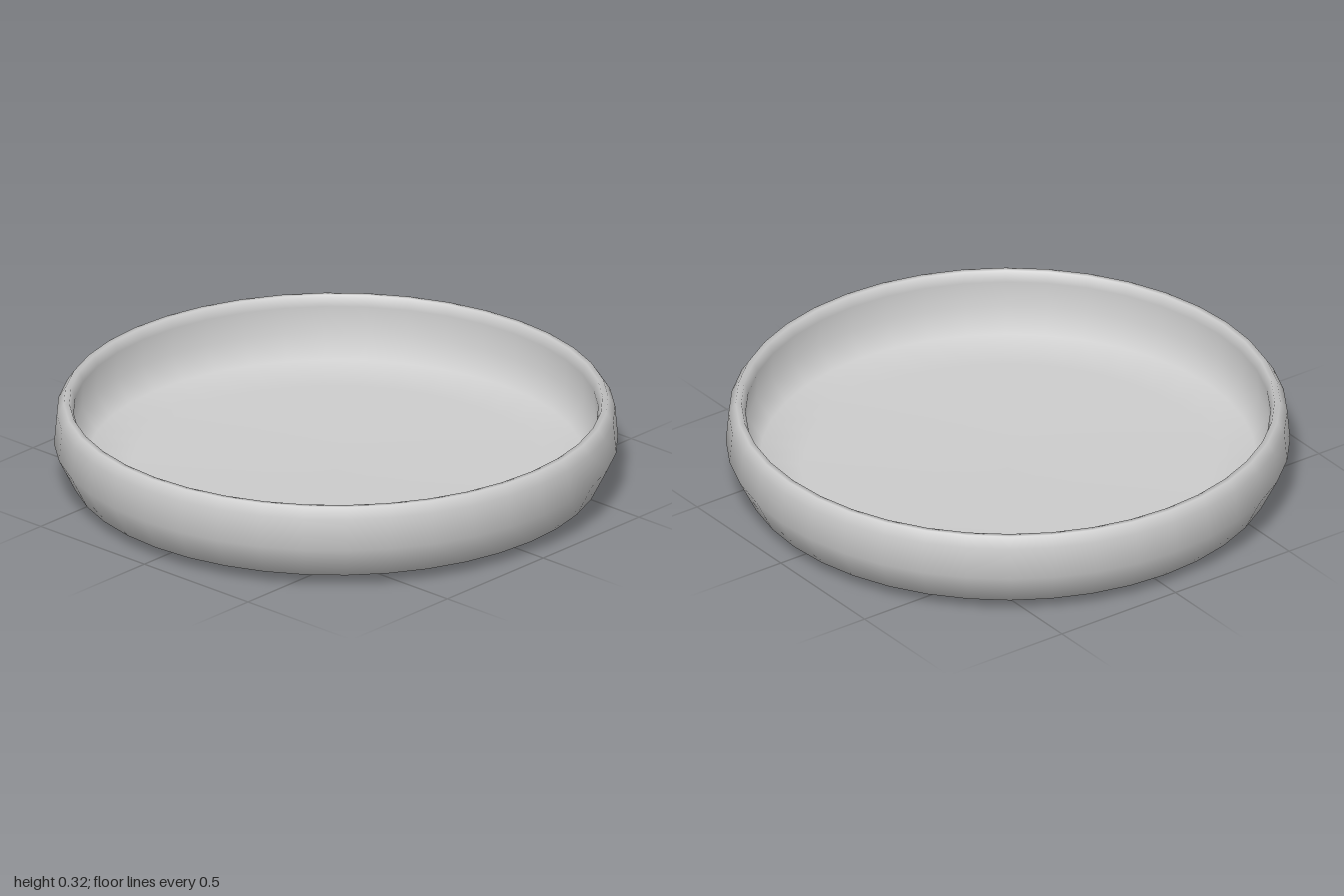
import * as THREE from 'three';

export function createModel() {
  const group = new THREE.Group();
  group.name = 'shallowDish';

  // Half section: underside, outer wall, rounded lip, inner wall, floor
  const profile = [
    [0, 0], [0.75, 0.005], [0.94, 0.045], [1, 0.165], [0.99, 0.28],
    [0.965, 0.318], [0.945, 0.318], [0.93, 0.28],
    [0.935, 0.18], [0.88, 0.095], [0.73, 0.062], [0, 0.055],
  ].map(([r, y]) => new THREE.Vector2(r, y));

  const dish = new THREE.Mesh(
    new THREE.LatheGeometry(profile, 40),
    new THREE.MeshStandardMaterial({ color: 0xcccccc }),
  );
  dish.name = 'dish';
  group.add(dish);
  return group;
}
